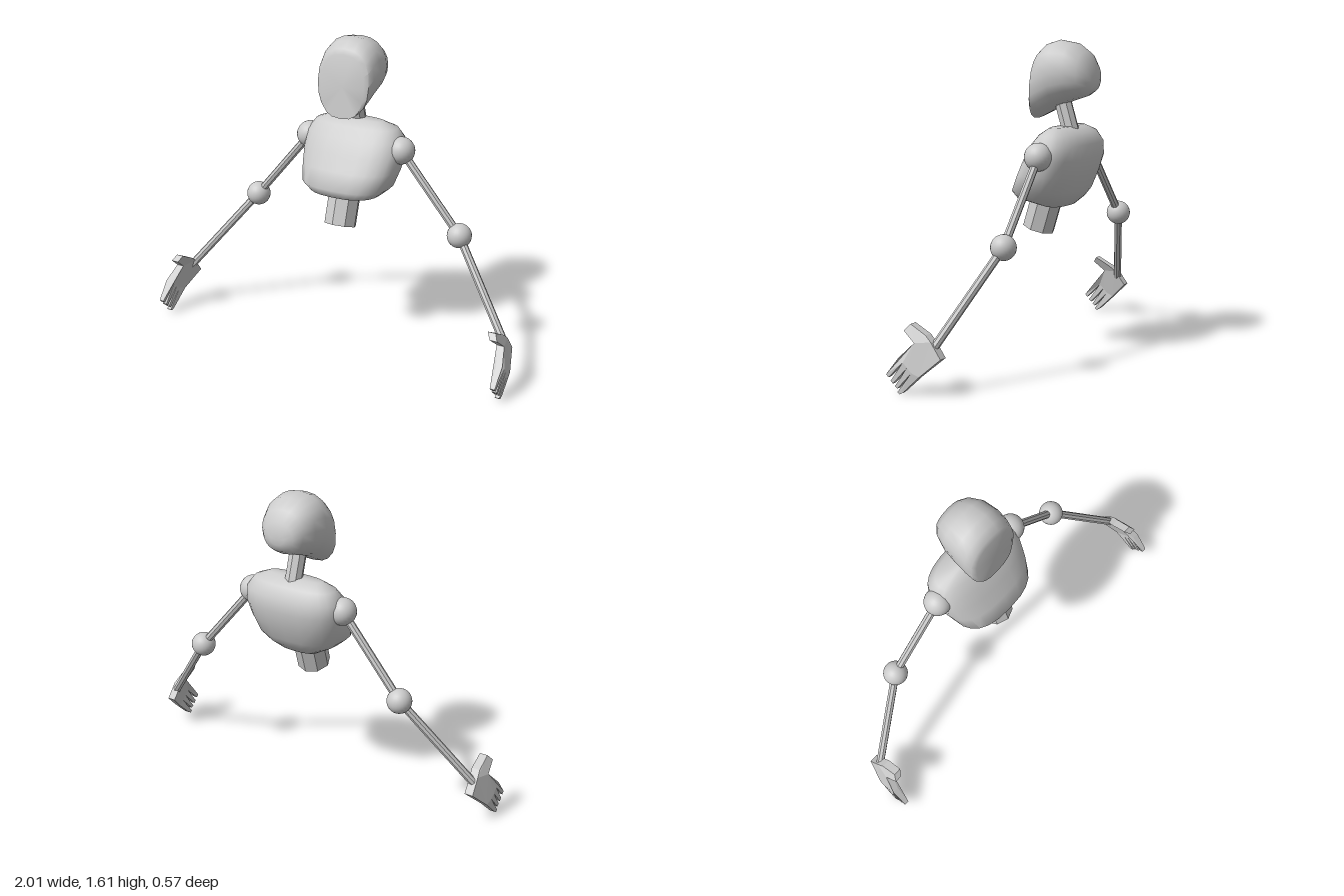
import * as THREE from 'three';
import { toCreasedNormals } from 'three/addons/utils/BufferGeometryUtils.js';

const grey = new THREE.MeshStandardMaterial({ color: 0xcccccc });
const V = (x, y, z) => new THREE.Vector3(x, y, z);

function add(parent, name, geometry) {
  const mesh = new THREE.Mesh(geometry, grey);
  mesh.name = name;
  parent.add(mesh);
  return mesh;
}

// Unit superellipse point
function superPoint(t, n) {
  const f = (v) => Math.sign(v) * Math.pow(Math.abs(v), 2 / n);
  return [f(Math.cos(t)), f(Math.sin(t))];
}

// Closed skin over a stack of rings, capped at both ends
function loft(rings, sides, crease, pointAt) {
  const pos = [], index = [], count = rings.length;
  for (const ring of rings) {
    for (let j = 0; j < sides; j++) pos.push(...pointAt(ring, (j / sides) * Math.PI * 2));
  }
  for (const start of [0, (count - 1) * sides]) {
    const c = [0, 0, 0];
    for (let j = 0; j < sides; j++) for (let k = 0; k < 3; k++) c[k] += pos[(start + j) * 3 + k] / sides;
    pos.push(...c);
  }
  const first = count * sides, last = first + 1, top = (count - 1) * sides;
  for (let j = 0; j < sides; j++) {
    const k = (j + 1) % sides;
    for (let i = 0; i < count - 1; i++) {
      const a = i * sides + j, b = i * sides + k;
      index.push(a, b, b + sides, a, b + sides, a + sides);
    }
    index.push(first, k, j, last, top + j, top + k);
  }
  const geo = new THREE.BufferGeometry();
  geo.setAttribute('position', new THREE.Float32BufferAttribute(pos, 3));
  geo.setIndex(index);
  return toCreasedNormals(geo, crease);
}

// Faceted rod between two points
function rod(parent, name, from, to, radius, sides) {
  const dir = to.clone().sub(from);
  const geo = new THREE.CylinderGeometry(radius, radius, dir.length(), sides);
  const mesh = add(parent, name, toCreasedNormals(geo, 0.5));
  mesh.position.copy(from).add(to).multiplyScalar(0.5);
  mesh.quaternion.setFromUnitVectors(V(0, 1, 0), dir.normalize());
}

function ball(parent, name, at, radius) {
  add(parent, name, new THREE.SphereGeometry(radius, 24, 16)).position.copy(at);
}

// Hand outline in (z, y): thumb, wrist edge, then four fingers
const handOutline = [
  [0.204, 0.302], [0.179, 0.332], [0.094, 0.289], [0.06, 0.262], [0.004, 0.187],
  [0.1, 0.1], [0.191, 0.015], [0.21, 0.004], [0.222, 0.013], [0.14, 0.115],
  [0.222, 0.03], [0.236, 0.04], [0.163, 0.138],
  [0.247, 0.05], [0.26, 0.062], [0.187, 0.16],
  [0.272, 0.077], [0.285, 0.09], [0.21, 0.18], [0.14, 0.252],
].map(([z, y]) => new THREE.Vector2(z, y));

function handGeometry(side) {
  const geo = new THREE.ExtrudeGeometry(new THREE.Shape(handOutline), { depth: 1, bevelEnabled: false });
  const p = geo.attributes.position;
  for (let i = 0; i < p.count; i++) {
    const z = p.getX(i), y = p.getY(i), w = p.getZ(i) - 0.5;
    // Fingers lean outward and thin out, the thumb leans inward
    const reach = Math.max(0, (z - 0.04) * 0.74 - (y - 0.23) * 0.67);
    const middle = 0.94 + Math.min(0.3 * reach, 0.046) - 0.3 * Math.max(0, y - 0.25);
    p.setXYZ(i, side * (middle - w * (0.044 - 0.07 * reach)), y, z);
  }
  if (side < 0) {
    // Mirrored triangles need their corner order reversed
    const a = V(0, 0, 0), b = V(0, 0, 0);
    for (let i = 0; i < p.count; i += 3) {
      a.fromBufferAttribute(p, i + 1);
      b.fromBufferAttribute(p, i + 2);
      p.setXYZ(i + 1, b.x, b.y, b.z);
      p.setXYZ(i + 2, a.x, a.y, a.z);
    }
  }
  geo.computeVertexNormals();
  return geo;
}

export function createModel() {
  const model = new THREE.Group();
  model.name = 'mannequinBust';

  // Head, back to front: z, bottom, top, half width, tilt, squareness
  const headRings = [
    [-0.285, 1.395, 1.45, 0.04, 0, 2],
    [-0.272, 1.36, 1.505, 0.085, 0, 2.1],
    [-0.235, 1.337, 1.56, 0.12, 0, 2.2],
    [-0.17, 1.315, 1.602, 0.146, 0, 2.3],
    [-0.09, 1.285, 1.615, 0.155, 0, 2.3],
    [-0.03, 1.247, 1.6, 0.153, 0.05, 2.3],
    [0.01, 1.224, 1.568, 0.145, 0.09, 2.4],
    [0.022, 1.219, 1.54, 0.122, 0.1, 2.6],
  ];
  add(model, 'head', loft(headRings, 20, 0.9, ([z, lo, hi, half, tilt, n], t) => {
    const [c, s] = superPoint(t, n);
    const dy = (s * (hi - lo)) / 2;
    return [c * half, (lo + hi) / 2 + dy, z - tilt * dy];
  }));

  // Chest, bottom to top: y, back z, front z, half width
  const chestRings = [
    [0.785, -0.14, -0.03, 0.11],
    [0.825, -0.185, 0.113, 0.19],
    [0.865, -0.21, 0.13, 0.237],
    [0.95, -0.24, 0.085, 0.262],
    [1.03, -0.26, 0.04, 0.275],
    [1.1, -0.255, 0, 0.268],
    [1.155, -0.22, -0.045, 0.23],
    [1.187, -0.165, -0.085, 0.155],
  ];
  add(model, 'chest', loft(chestRings, 24, 1.1, ([y, back, front, half], t) => {
    const [c, s] = superPoint(t, 2.6);
    return [c * half, y, (back + front) / 2 - (s * (front - back)) / 2];
  }));

  rod(model, 'neck', V(0, 1.1, -0.165), V(0, 1.38, -0.08), 0.044, 8);
  rod(model, 'waist', V(0, 0.655, 0.04), V(0, 0.87, -0.027), 0.084, 8);

  // Arms
  for (const side of [1, -1]) {
    const arm = new THREE.Group();
    arm.name = side > 0 ? 'leftArm' : 'rightArm';
    model.add(arm);
    const shoulder = V(side * 0.267, 1.055, -0.112);
    const elbow = V(side * 0.6, 0.662, -0.115);
    const wrist = V(side * 0.945, 0.222, 0.06);
    ball(arm, 'shoulder', shoulder, 0.07);
    rod(arm, 'upperArm', shoulder, elbow, 0.021, 8);
    ball(arm, 'elbow', elbow, 0.063);
    rod(arm, 'forearm', elbow, wrist, 0.021, 8);
    add(arm, 'hand', handGeometry(side));
  }
  return model;
}
